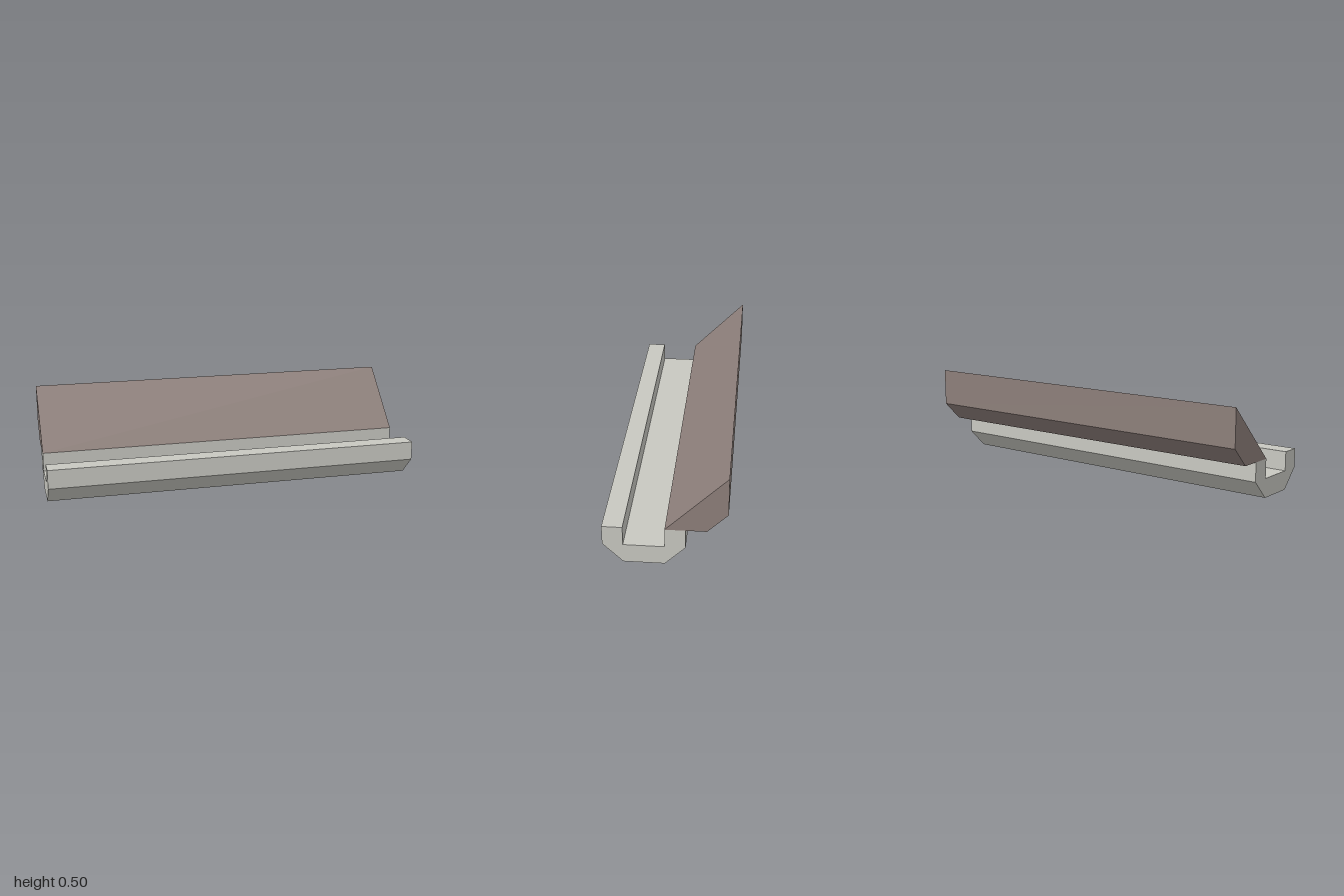
import * as THREE from 'three';

const LENGTH = 2;

// Extrudes a [z, y] cross-section along x, centred on x = 0
function extrudeAlongX(name, profile, color) {
  const shape = new THREE.Shape(profile.map(([z, y]) => new THREE.Vector2(z, y)));
  const geometry = new THREE.ExtrudeGeometry(shape, { depth: LENGTH, bevelEnabled: false });
  geometry.translate(0, 0, -LENGTH / 2);
  geometry.rotateY(-Math.PI / 2);
  const mesh = new THREE.Mesh(geometry, new THREE.MeshStandardMaterial({ color, flatShading: true }));
  mesh.name = name;
  return mesh;
}

export function createModel() {
  const model = new THREE.Group();
  model.name = 'roofEdgeWithGutter';

  // U-shaped channel with chamfered lower corners
  model.add(extrudeAlongX('gutter', [
    [0, 0], [0.2, 0], [0.3, 0.1], [0.3, 0.2], [0.2, 0.2],
    [0.2, 0.1], [0, 0.1], [0, 0.2], [-0.1, 0.2], [-0.1, 0.1],
  ], 0xc8c8c1));

  // Sloped roof slab resting on the gutter's rear wall
  model.add(extrudeAlongX('roofSlab', [
    [0, 0.2], [-0.3, 0.5], [-0.3, 0.3], [-0.2, 0.2],
  ], 0x8d7f7a));

  return model;
}
